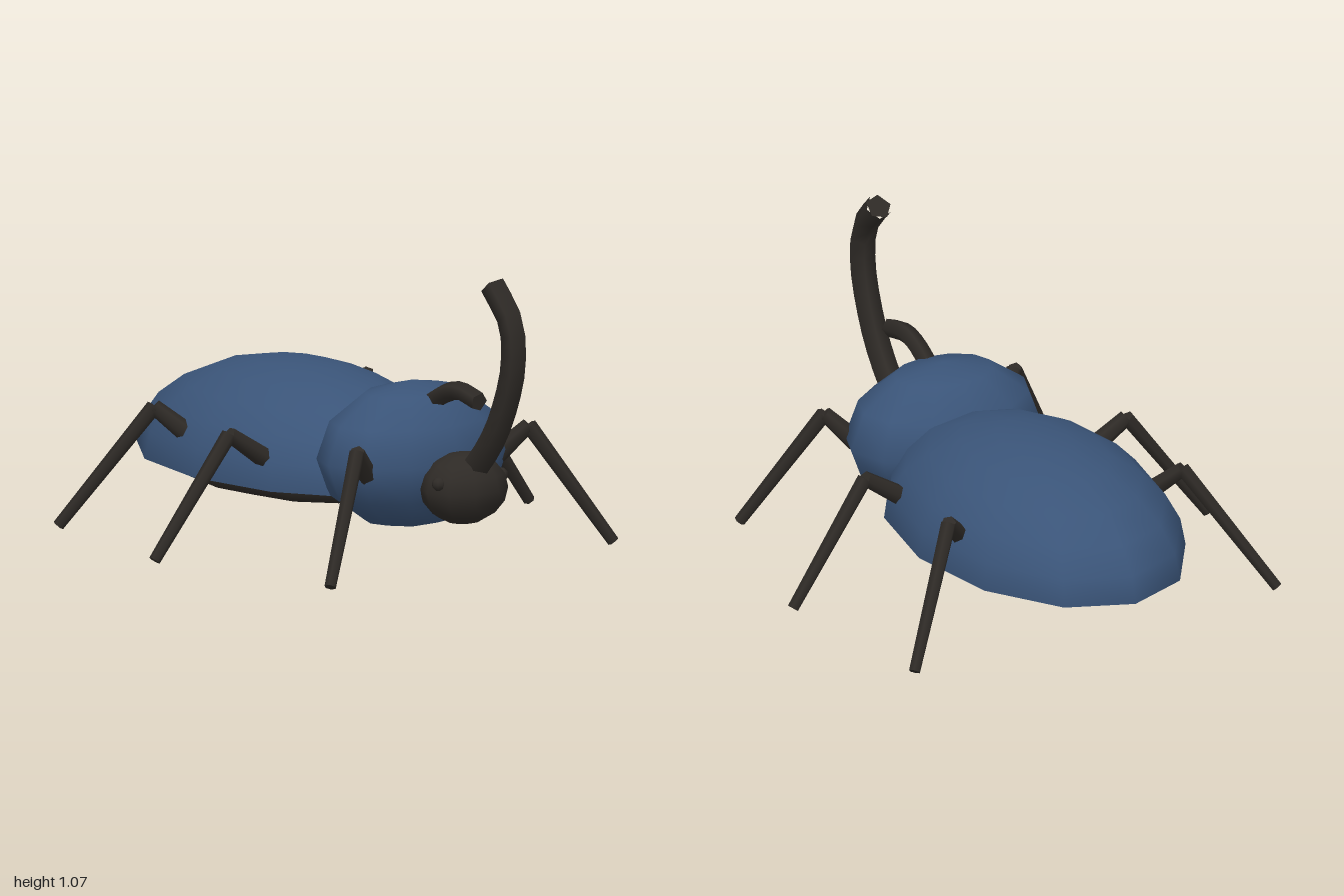
import * as THREE from 'three';

const V = (x, y, z) => new THREE.Vector3(x, y, z);

export function createModel() {
  const group = new THREE.Group();
  const blue = new THREE.MeshStandardMaterial({ color: 0x3a5478, side: THREE.DoubleSide });
  const dark = new THREE.MeshStandardMaterial({ color: 0x2e2a26 });

  function add(name, geometry, material, parent = group) {
    const mesh = new THREE.Mesh(geometry, material);
    mesh.name = name;
    parent.add(mesh);
    return mesh;
  }

  function ellipsoid(name, geometry, material, centre, radii) {
    const mesh = add(name, geometry, material);
    mesh.position.set(...centre);
    mesh.scale.set(...radii);
  }

  // tapered rod from a to b
  function rod(name, a, b, ra, rb, parent) {
    const dir = b.clone().sub(a);
    const mesh = add(name, new THREE.CylinderGeometry(rb, ra, dir.length(), 6), dark, parent);
    mesh.position.copy(a).add(b).multiplyScalar(0.5);
    mesh.quaternion.setFromUnitVectors(V(0, 1, 0), dir.normalize());
  }

  // curved five-sided horn with closed ends, points given as [y, z]
  function horn(name, points, radius, segments) {
    const curve = new THREE.CatmullRomCurve3(points.map(([y, z]) => V(0, y, z)));
    const part = new THREE.Group();
    part.name = name;
    group.add(part);
    add(name + 'Shaft', new THREE.TubeGeometry(curve, segments, radius, 5), dark, part);
    const tip = add(name + 'Tip', new THREE.CircleGeometry(radius, 5), dark, part);
    tip.position.copy(curve.getPoint(1));
    tip.lookAt(tip.position.clone().add(curve.getTangent(1)));
  }

  // body
  const dome = new THREE.SphereGeometry(1, 12, 6, 0, Math.PI * 2, 0, Math.PI / 2);
  ellipsoid('wingCase', dome, blue, [0, 0.23, -0.28], [0.47, 0.37, 0.72]);
  ellipsoid('belly', new THREE.SphereGeometry(1, 10, 6), dark, [0, 0.24, -0.28], [0.42, 0.12, 0.65]);
  ellipsoid('thorax', new THREE.SphereGeometry(1, 12, 6), blue, [0, 0.365, 0.37], [0.375, 0.265, 0.268]);
  ellipsoid('head', new THREE.SphereGeometry(1, 10, 8), dark, [0, 0.29, 0.665], [0.165, 0.13, 0.142]);

  // horns
  horn('headHorn', [[0.34, 0.7], [0.48, 0.825], [0.6, 0.895], [0.78, 0.953], [0.925, 0.94], [1.045, 0.835]], 0.048, 12);
  horn('thoraxHorn', [[0.54, 0.44], [0.605, 0.54], [0.633, 0.64], [0.612, 0.752]], 0.035, 8);

  // hip, knee and foot of each left leg
  const legs = {
    front: [V(0.29, 0.34, 0.48), V(0.385, 0.445, 0.545), V(0.635, 0.02, 0.71)],
    middle: [V(0.37, 0.33, 0.012), V(0.53, 0.44, 0), V(0.84, 0.02, -0.032)],
    rear: [V(0.37, 0.34, -0.41), V(0.475, 0.45, -0.5), V(0.735, 0.02, -0.715)],
  };
  for (const [side, s] of [['Left', 1], ['Right', -1]]) {
    for (const [place, joints] of Object.entries(legs)) {
      const [hip, knee, foot] = joints.map((p) => V(p.x * s, p.y, p.z));
      const leg = new THREE.Group();
      leg.name = place + side + 'Leg';
      group.add(leg);
      rod('thigh', hip, knee, 0.038, 0.028, leg);
      rod('shin', knee, foot, 0.028, 0.021, leg);
    }
    ellipsoid('eye' + side, new THREE.SphereGeometry(1, 8, 6), dark, [0.14 * s, 0.325, 0.7], [0.025, 0.025, 0.025]);
  }
  return group;
}
